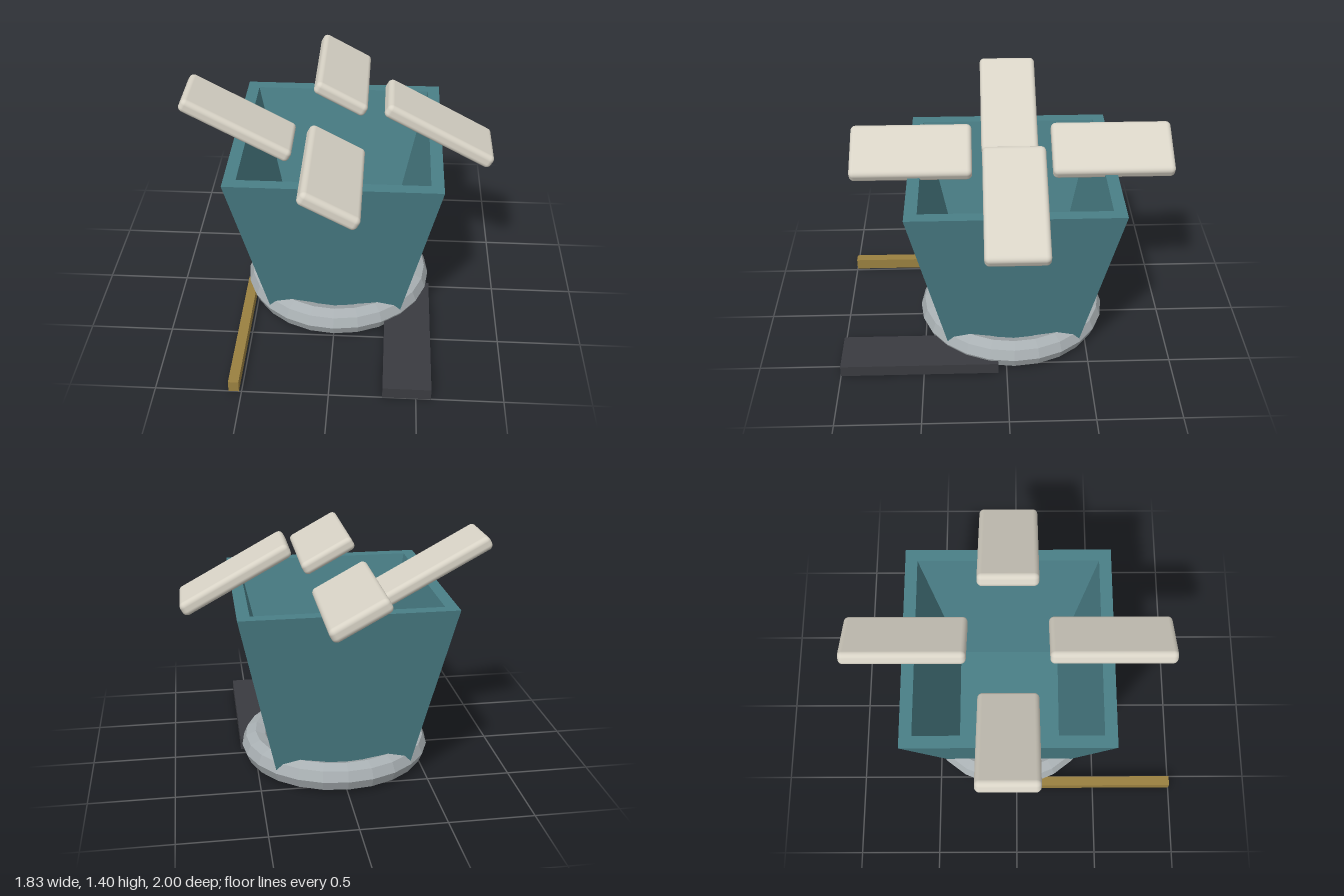
import * as THREE from 'three';
import { RoundedBoxGeometry } from 'three/addons/geometries/RoundedBoxGeometry.js';

const CENTRE_Z = -0.047;

export function createModel() {
  const model = new THREE.Group();
  const paint = (color, flatShading = false) => new THREE.MeshStandardMaterial({ color, flatShading });
  const add = (name, geometry, material, x, y, z) => {
    const mesh = new THREE.Mesh(geometry, material);
    mesh.name = name;
    mesh.position.set(x, y, z);
    model.add(mesh);
    return mesh;
  };

  // Square tapered bucket: a four-sided lathe, given as half widths and heights
  const profile = [[0, 0.105], [0.405, 0.105], [0.612, 1.122], [0.54, 1.122], [0.325, 0.17], [0, 0.17]]
    .map(([half, y]) => new THREE.Vector2(half * Math.SQRT2, y));
  add('bucket', new THREE.LatheGeometry(profile, 4, Math.PI / 4), paint(0x4a7f87, true), 0, 0, CENTRE_Z);

  // Faceted foot ring
  const ring = new THREE.TorusGeometry(0.495, 0.085, 8, 24).rotateX(Math.PI / 2);
  add('footRing', ring, paint(0xa9b0b3, true), 0, 0.085, CENTRE_Z);

  // Four rounded slabs around the rim, all tilted down towards +x
  const cream = paint(0xd8d3c6);
  const tilt = -0.5;
  const reach = 0.593;
  for (const [name, dx, dz] of [['leftSlab', 1, 0], ['rightSlab', -1, 0], ['frontSlab', 0, 1], ['backSlab', 0, -1]]) {
    const slab = dx
      ? new RoundedBoxGeometry(0.712, 0.085, 0.355, 4, 0.03)
      : new RoundedBoxGeometry(0.355, 0.085, 0.715, 4, 0.03);
    add(name, slab, cream, dx * reach, 1.207, CENTRE_Z + dz * reach).rotation.z = tilt;
  }

  // Two flat bars on the ground reaching forward
  add('wideBar', new THREE.BoxGeometry(0.278, 0.07, 0.95), paint(0x3a3b40), 0.447, 0.035, 0.525);
  add('narrowBar', new THREE.BoxGeometry(0.06, 0.07, 0.95), paint(0x9a8040), -0.545, 0.035, 0.525);

  return model;
}
